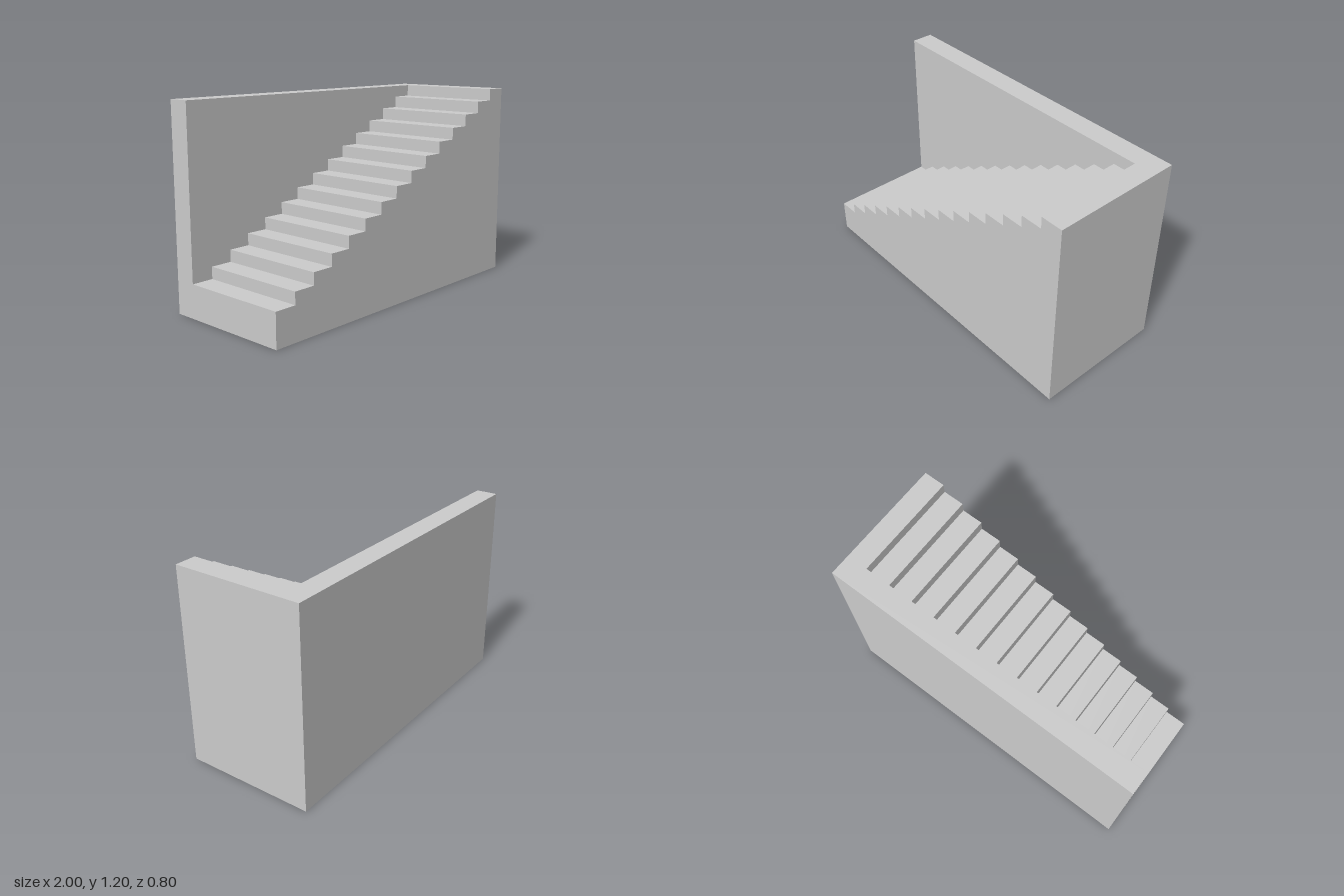
import * as THREE from 'three';

const STEPS = 15;
const LENGTH = 2;
const HEIGHT = 1.2;
const DEPTH = 0.8;
const FIRST_STEP = 0.2;
const WALL = 0.1333;

export function createModel() {
  const group = new THREE.Group();
  group.name = 'staircase';
  const material = new THREE.MeshStandardMaterial({ color: 0xcccccc, flatShading: true });

  // Solid flight of steps, rising towards +x; the last step is level with the wall top
  const tread = LENGTH / STEPS;
  const rise = (HEIGHT - FIRST_STEP) / (STEPS - 1);
  const profile = new THREE.Shape();
  profile.moveTo(LENGTH / 2, 0);
  for (let i = STEPS - 1; i >= 0; i--) {
    const y = FIRST_STEP + i * rise;
    const x = -LENGTH / 2 + i * tread;
    profile.lineTo(x + tread, y);
    profile.lineTo(x, y);
  }
  profile.lineTo(-LENGTH / 2, 0);
  const stepsGeometry = new THREE.ExtrudeGeometry(profile, { depth: DEPTH - WALL, bevelEnabled: false });
  stepsGeometry.translate(0, 0, -DEPTH / 2 + WALL);
  const steps = new THREE.Mesh(stepsGeometry, material);
  steps.name = 'steps';
  group.add(steps);

  // Full-height wall along the back
  const wall = new THREE.Mesh(new THREE.BoxGeometry(LENGTH, HEIGHT, WALL), material);
  wall.name = 'backWall';
  wall.position.set(0, HEIGHT / 2, -DEPTH / 2 + WALL / 2);
  group.add(wall);

  return group;
}
